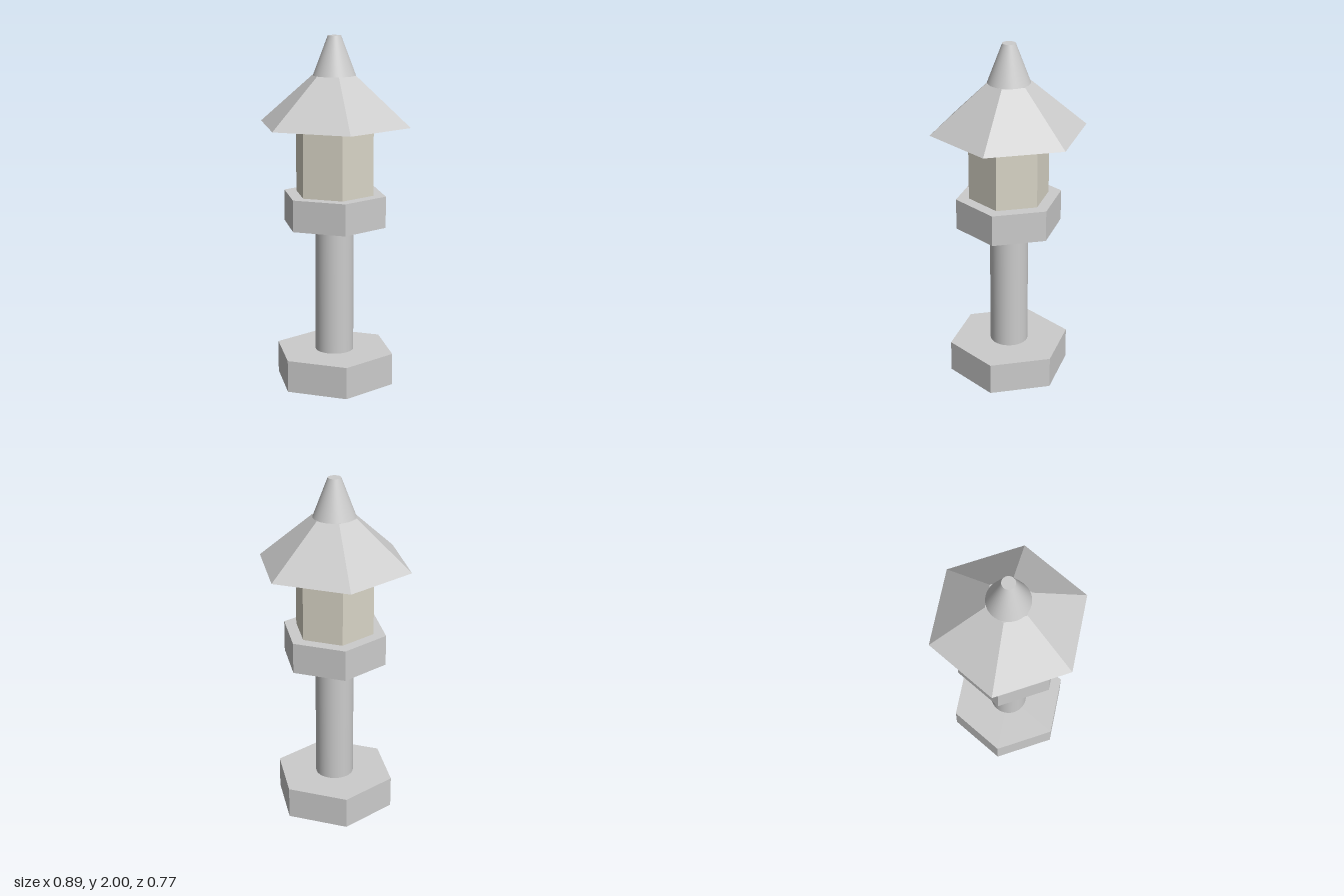
import * as THREE from 'three';

const stone = new THREE.MeshStandardMaterial({ color: 0xcccccc });
const stoneFlat = new THREE.MeshStandardMaterial({ color: 0xcccccc, flatShading: true });
const lampFlat = new THREE.MeshStandardMaterial({ color: 0xd9d5c7, flatShading: true });

export function createModel() {
  const group = new THREE.Group();
  group.name = 'stoneLantern';

  // Upright prism or cone between two heights
  const add = (name, y0, y1, rBottom, rTop, sides, material) => {
    const geometry = new THREE.CylinderGeometry(rTop, rBottom, y1 - y0, sides);
    geometry.rotateY(Math.PI / 2); // hexagon corners point along x
    const mesh = new THREE.Mesh(geometry, material);
    mesh.name = name;
    mesh.position.y = (y0 + y1) / 2;
    group.add(mesh);
  };

  add('base', 0, 0.185, 0.352, 0.352, 6, stoneFlat);
  add('post', 0.185, 0.93, 0.11, 0.11, 48, stone);
  add('platform', 0.93, 1.11, 0.305, 0.305, 6, stoneFlat);
  add('lightChamber', 1.11, 1.505, 0.231, 0.231, 6, lampFlat);
  add('roof', 1.505, 1.78, 0.444, 0.128, 6, stoneFlat);
  add('finial', 1.78, 2, 0.12, 0.037, 48, stone);

  return group;
}
